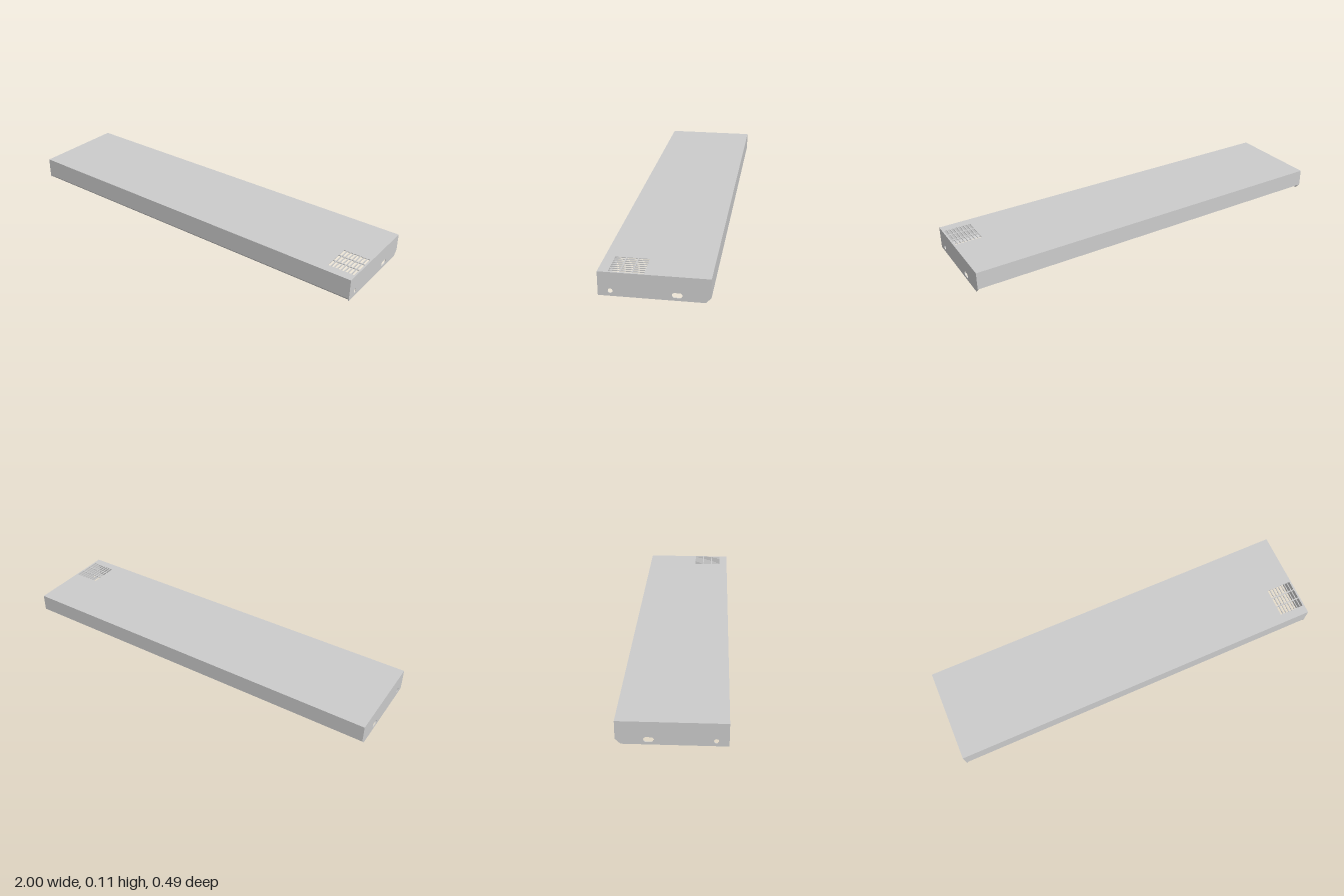
import * as THREE from 'three';

const T = 0.004;      // sheet thickness
const H = 0.114;      // height
const D = 0.245;      // half depth
const mat = new THREE.MeshStandardMaterial({ color: 0xcccccc, side: THREE.DoubleSide });

const polygon = (pts) => new THREE.Shape(pts.map(([a, b]) => new THREE.Vector2(a, b)));

// Extrudes a (z, y) outline along x, from x1 back towards -x
function alongX(name, shape, x1, length) {
  const geo = new THREE.ExtrudeGeometry(shape, { depth: length, bevelEnabled: false, curveSegments: 12 });
  geo.rotateY(-Math.PI / 2).translate(x1, 0, 0);
  const mesh = new THREE.Mesh(geo, mat);
  mesh.name = name;
  return mesh;
}

// Horizontal oblong hole, round when half = 0
function oblong(z, y, half, r) {
  const p = new THREE.Path();
  p.absarc(z + half, y, r, -Math.PI / 2, Math.PI / 2);
  p.absarc(z - half, y, r, Math.PI / 2, Math.PI * 1.5);
  p.closePath();
  return p;
}

// Top sheet with a grid of vent slots in one front corner
function topPanel() {
  const shape = polygon([[-1, -D], [1, -D], [1, D], [-1, D]]);
  const cols = 8, rows = 3, x0 = 0.856, z0 = 0.043, px = 0.0175, pz = 0.054;
  for (let i = 0; i < cols; i++) {
    for (let j = 0; j < rows; j++) {
      const x = x0 + i * px, z = z0 + j * pz, w = 0.0125, h = 0.048;
      shape.holes.push(new THREE.Path([[x, z], [x, z + h], [x + w, z + h], [x + w, z]]
        .map(([a, b]) => new THREE.Vector2(a, b))));
    }
  }
  const geo = new THREE.ExtrudeGeometry(shape, { depth: T, bevelEnabled: false });
  geo.rotateX(Math.PI / 2).translate(0, H, 0);
  const mesh = new THREE.Mesh(geo, mat);
  mesh.name = 'ventedTopPanel';
  return mesh;
}

// End plate with clipped rear corner, screw hole and slot
function sideShape() {
  const shape = polygon([[D, 0], [D, H - T], [-D, H - T], [-D, 0.025], [-0.221, 0]]);
  shape.holes.push(oblong(0.19, 0.025, 0, 0.011), oblong(-0.1, 0.025, 0.011, 0.012));
  return shape;
}

export function createModel() {
  const group = new THREE.Group();
  group.name = 'sheetMetalCover';
  group.add(topPanel());
  group.add(alongX('leftSide', sideShape(), 1, T));
  group.add(alongX('rightSide', sideShape(), -1 + T, T));

  // Front panel with its lower edge folded inwards
  const front = polygon([[D, H - T], [D, 0.012], [D - 0.009, 0], [D - 0.013, 0.003],
    [D - T, 0.014], [D - T, H - T]]);
  group.add(alongX('frontPanel', front, 1 - T, 2 - 2 * T));

  // Shorter rear panel
  const back = polygon([[-D, 0.025], [-D + T, 0.025], [-D + T, H - T], [-D, H - T]]);
  group.add(alongX('backPanel', back, 1 - T, 2 - 2 * T));
  return group;
}
